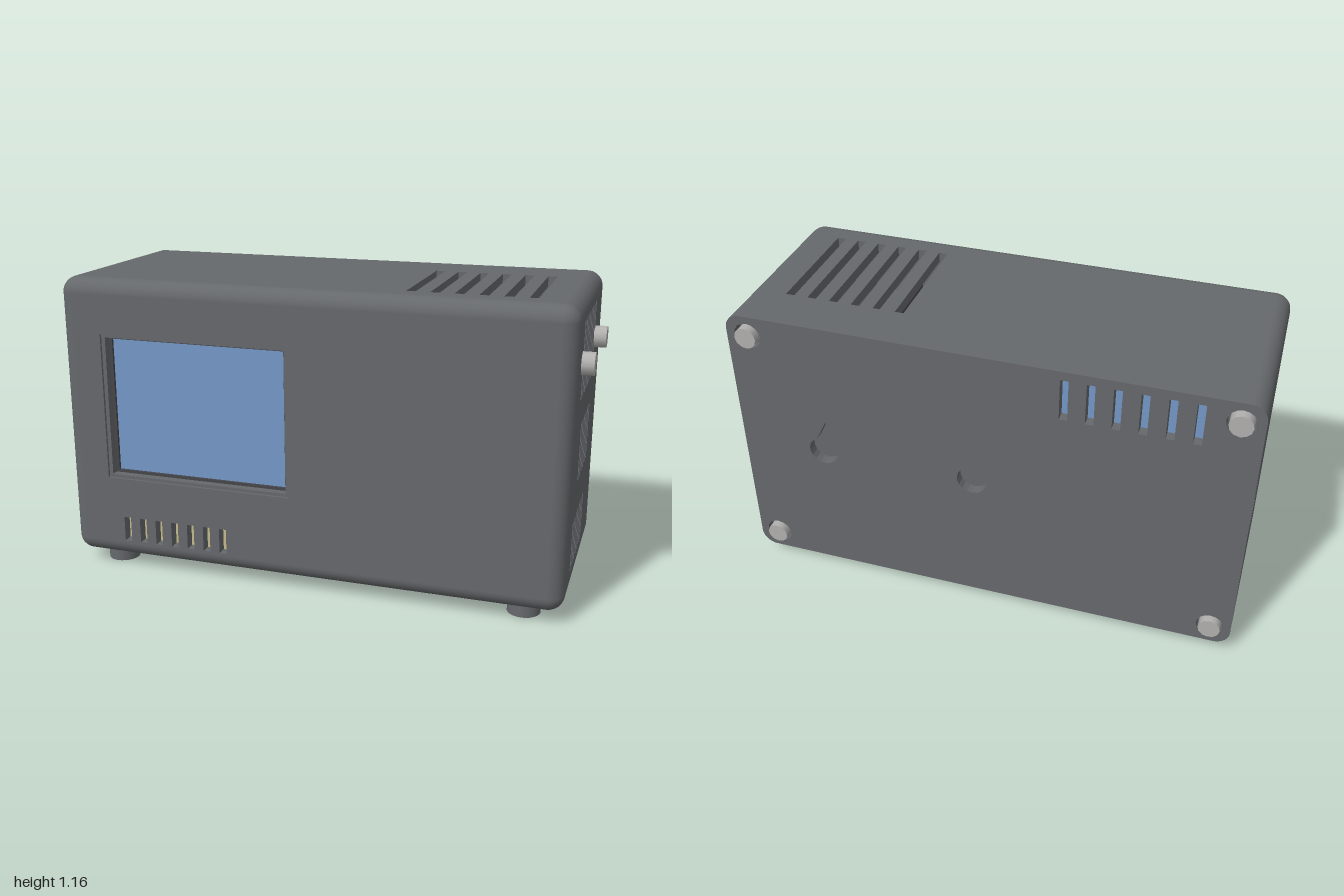
import * as THREE from 'three';

const mat = (name, color, side = THREE.FrontSide) => {
  const m = new THREE.MeshStandardMaterial({ color, side });
  m.name = name;
  return m;
};

export function createModel() {
  const root = new THREE.Group();
  const body = mat('grey casing', 0x66696c, THREE.DoubleSide);
  const blue = mat('blue screen', 0x7498c8);
  const cream = mat('cream plate', 0xc6bb8c);
  const metal = mat('light metal', 0xb2b1b0);
  const white = mat('off white', 0xcacac6);
  const green = mat('green board', 0x54a27a);
  const dark = mat('dark grey', 0x47474b);

  // Casing limits, edge radius and wall thickness
  const X0 = -1, X1 = 0.955, Y0 = 0.05, Y1 = 1.165, Z0 = -0.385, Z1 = 0.4, R = 0.06, T = 0.04;
  const ZB = Z0 + T;

  const add = (name, geo, material, x = 0, y = 0, z = 0) => {
    const m = new THREE.Mesh(geo, material);
    m.name = name;
    m.position.set(x, y, z);
    root.add(m);
    return m;
  };
  const box = (name, material, x0, x1, y0, y1, z0, z1) =>
    add(name, new THREE.BoxGeometry(x1 - x0, y1 - y0, z1 - z0), material,
      (x0 + x1) / 2, (y0 + y1) / 2, (z0 + z1) / 2);
  const rect = (u0, v0, u1, v1, Kind = THREE.Path) => new Kind([
    [u0, v0], [u1, v0], [u1, v1], [u0, v1]].map(p => new THREE.Vector2(...p)));
  // Row of upright slots, first centre and step along u
  const slots = (n, first, step, width, v0, v1) => Array.from({ length: n }, (_, i) => {
    const c = first + i * step;
    return rect(c - width / 2, v0, c + width / 2, v1);
  });
  const panel = (name, shape, holes, depth = T, material = body) => {
    shape.holes.push(...holes);
    return add(name, new THREE.ExtrudeGeometry(shape, { depth, bevelEnabled: false, curveSegments: 8 }), material);
  };

  // Rounded front rim and the four long rounded edges
  const pos = [], nor = [], idx = [], N = 6, cols = 4 * (N + 1);
  const corners = [[X1 - R, Y1 - R], [X0 + R, Y1 - R], [X0 + R, Y0 + R], [X1 - R, Y0 + R]];
  for (let k = 0; k <= N + 1; k++) {
    const a = Math.min(k, N) / N * Math.PI / 2;
    for (let c = 0; c < 4; c++) for (let j = 0; j <= N; j++) {
      const t = (c + j / N) * Math.PI / 2;
      const n = [Math.cos(t) * Math.sin(a), Math.sin(t) * Math.sin(a), Math.cos(a)];
      pos.push(corners[c][0] + R * n[0], corners[c][1] + R * n[1], k > N ? ZB : Z1 - R + R * n[2]);
      nor.push(...n);
    }
  }
  for (let k = 0; k <= N; k++) for (let i = 0; i < cols; i++) {
    if (k === N && i % (N + 1) === N) continue; // flat sides are separate panels
    const j = (i + 1) % cols, a = k * cols + i, b = a + cols, c = (k + 1) * cols + j, d = k * cols + j;
    idx.push(a, b, c, a, c, d);
  }
  const rim = new THREE.BufferGeometry();
  rim.setAttribute('position', new THREE.Float32BufferAttribute(pos, 3));
  rim.setAttribute('normal', new THREE.Float32BufferAttribute(nor, 3));
  rim.setIndex(idx);
  add('roundedCasingEdges', rim, body);

  // Front panel with screen opening and light slots
  panel('frontPanel', rect(X0 + R, Y0 + R, X1 - R, Y1 - R, THREE.Shape),
    [rect(-0.83, 0.38, -0.075, 0.955), ...slots(7, -0.757, 0.068, 0.029, 0.12, 0.22)])
    .position.z = Z1 - T;

  // Right panel: three vent groups (u = -z)
  const right = panel('rightPanel', rect(R - Z1, Y0 + R, -ZB, Y1 - R, THREE.Shape), [
    ...slots(8, -0.217, 0.0533, 0.031, 0.805, 1.088),
    ...slots(6, -0.133, 0.0533, 0.031, 0.478, 0.695),
    ...slots(7, -0.205, 0.0533, 0.031, 0.15, 0.337)]);
  right.rotation.y = Math.PI / 2;
  right.position.x = X1 - T;

  // Left panel with socket opening (u = z)
  const left = panel('leftPanel', rect(ZB, Y0 + R, Z1 - R, Y1 - R, THREE.Shape),
    [rect(-0.335, 0.575, -0.145, 0.73)]);
  left.rotation.y = -Math.PI / 2;
  left.position.x = X0 + T;

  // Top panel (v = -z) and bottom panel (v = z)
  const top = panel('topPanel', rect(X0 + R, R - Z1, X1 - R, -ZB, THREE.Shape),
    slots(6, 0.351, 0.0868, 0.034, -0.28, 0.19));
  top.rotation.x = -Math.PI / 2;
  top.position.y = Y1 - T;
  const bottom = panel('bottomPanel', rect(X0 + R, ZB, X1 - R, Z1 - R, THREE.Shape),
    [0, 1, 2, 3, 4].map(i => rect(0.66, -0.145 + i * 0.08, 0.88, -0.115 + i * 0.08)));
  bottom.rotation.x = Math.PI / 2;
  bottom.position.y = Y0 + T;

  // Back plate (u = -x) with keyholes, vents and screw holes
  const plate = new THREE.Shape();
  [[-X0 - R, Y1 - R], [-X1 + R, Y1 - R], [-X1 + R, Y0 + R], [-X0 - R, Y0 + R]].forEach(([u, v], i) =>
    plate.absarc(u, v, R, i * Math.PI / 2, (i + 1) * Math.PI / 2, false));
  const screwSpots = [-0.92, 0.872].flatMap(x => [0.13, 1.085].map(y => [x, y]));
  const keyholes = [0.62, 0.02].map(x => {
    const p = new THREE.Path(), r = 0.058, h = 0.023, t = Math.acos(h / r);
    p.moveTo(-x - h, 0.755);
    p.absarc(-x, 0.61, r, Math.PI - t, Math.PI * 2 + t, false);
    p.lineTo(-x + h, 0.755);
    return p;
  });
  const screwHoles = screwSpots.map(([x, y]) => new THREE.Path().absarc(-x, y, 0.052, 0, Math.PI * 2, false));
  const back = panel('backPlate', plate,
    [...keyholes, ...screwHoles, ...slots(6, 0.32, 0.0932, 0.03, 0.966, 1.13)]);
  back.rotation.y = Math.PI;
  back.position.z = ZB;
  for (const x of [0.62, 0.02]) box('keyholePocket', body, x - 0.09, x + 0.09, 0.53, 0.78, ZB + 0.01, ZB + 0.03);

  // Screws on the back, set in their holes
  for (const [x, y] of screwSpots) {
    const s = add('backScrew', new THREE.CylinderGeometry(0.042, 0.042, 0.06, 12), metal, x, y, -0.375);
    s.rotation.x = Math.PI / 2;
    box('screwSeat', body, x - 0.06, x + 0.06, y - 0.06, y + 0.06, ZB, ZB + 0.01);
  }

  // Knobs on the right side
  for (const z of [0.257, -0.195]) {
    const k = add('sideKnob', new THREE.CylinderGeometry(0.042, 0.042, 0.06, 12), metal, 0.97, 0.945, z);
    k.rotation.z = Math.PI / 2;
  }

  // Feet
  for (const x of [-0.845, 0.803]) for (const z of [0.282, -0.218])
    add('foot', new THREE.CylinderGeometry(0.062, 0.062, 0.06, 24), body, x, 0.03, z);

  // Stepped screen surround and screen
  panel('screenSurround', rect(-0.83, 0.38, -0.075, 0.955, THREE.Shape),
    [rect(-0.815, 0.393, -0.09, 0.942)], 0.035).position.z = 0.355;
  panel('screenBorder', rect(-0.82, 0.388, -0.085, 0.947, THREE.Shape),
    [rect(-0.802, 0.404, -0.102, 0.932)], 0.015, dark).position.z = 0.345;
  box('screen', blue, -0.81, -0.095, 0.396, 0.94, 0.335, 0.35);

  // Cream strip behind the front slots
  box('lightStrip', cream, -0.79, -0.31, 0.1, 0.24, 0.345, 0.358);

  // Socket recess on the left side
  box('socketBack', body, -0.86, -0.85, 0.56, 0.745, -0.345, -0.13);
  box('socketFloor', body, -0.96, -0.85, 0.565, 0.575, -0.345, -0.135);
  box('socketRoof', body, -0.96, -0.85, 0.73, 0.74, -0.345, -0.135);
  box('socketSide', body, -0.96, -0.85, 0.565, 0.74, -0.145, -0.135);

  // Inner parts seen through the right and top vents
  box('fanMount', dark, 0.44, 0.452, 0.77, 1.1, -0.2, 0.27);
  const drum = (name, material, r, x0, x1, y, z) => {
    const d = add(name, new THREE.CylinderGeometry(r, r, x1 - x0, 32), material, (x0 + x1) / 2, y, z);
    d.rotation.z = Math.PI / 2;
  };
  drum('fanFlange', metal, 0.15, 0.5, 0.53, 0.945, 0.032);
  drum('fanDrum', dark, 0.16, 0.53, 0.8, 0.945, 0.032);
  drum('fanHub', metal, 0.108, 0.79, 0.81, 0.945, 0.032);
  box('smallBlueBoard', blue, 0.46, 0.545, 0.72, 0.89, 0.195, 0.24);
  box('circuitBoard', green, 0.8, 0.815, 0.45, 0.73, -0.17, 0.17);
  drum('boardRing', white, 0.07, 0.81, 0.83, 0.585, 0);
  drum('boardSensor', metal, 0.062, 0.82, 0.835, 0.585, 0);
  box('powerBlock', white, 0.5, 0.83, 0.12, 0.37, -0.15, 0.3);

  return root;
}
